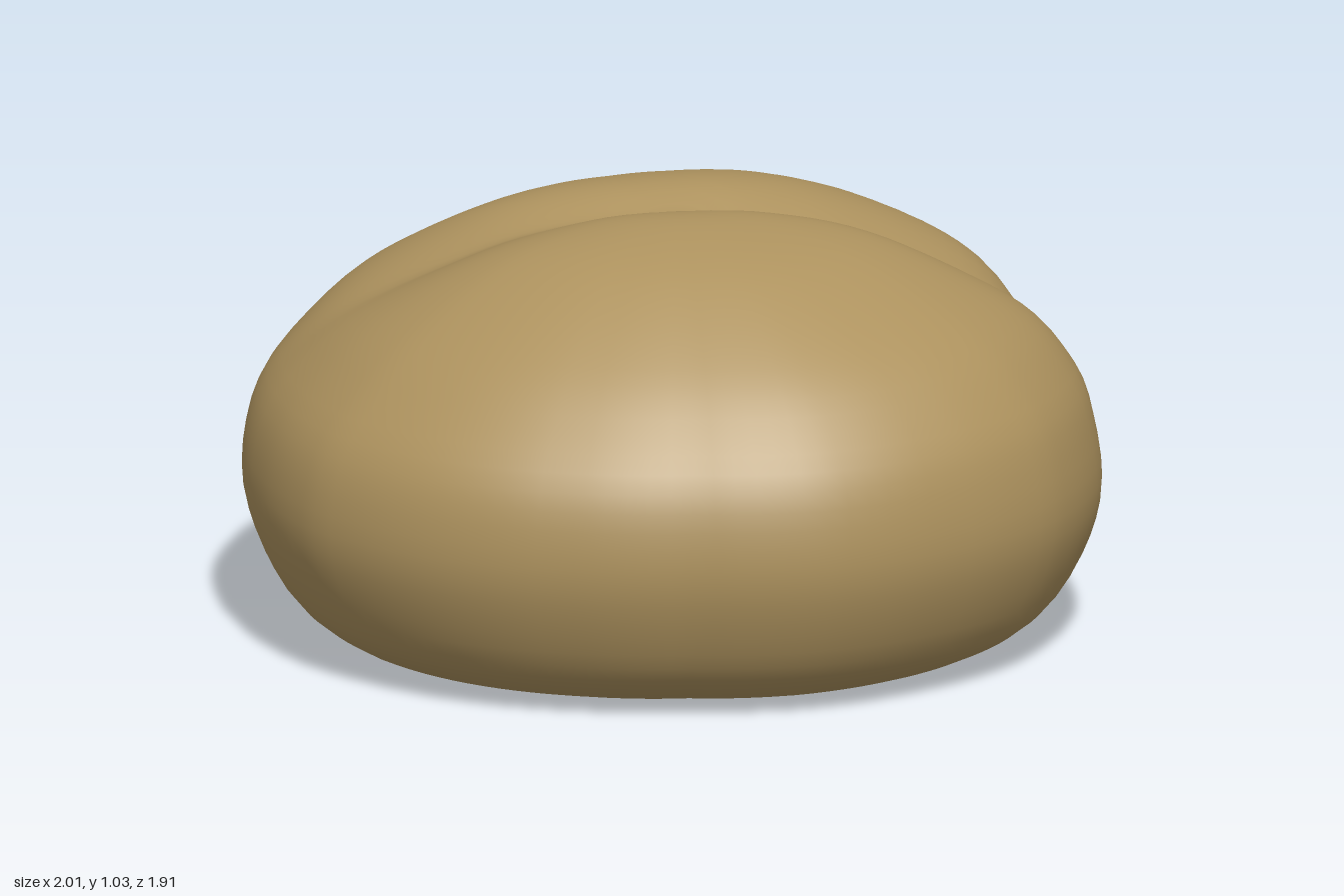
import * as THREE from 'three';
import { mergeVertices } from 'three/addons/utils/BufferGeometryUtils.js';

const { lerp, smoothstep: smooth } = THREE.MathUtils;

// Outline radius seen from above, every 20 degrees from +x towards +z
const OUTLINE = [1, 0.975, 1, 0.995, 0.958, 0.935, 0.893, 0.918, 0.96,
  1, 1, 1.015, 1.015, 0.965, 0.928, 0.94, 1, 1.028];

// Side profile, bottom to top: radius share and height
const PROFILE = [[0, 0.01], [0.4, 0], [0.68, 0.008], [0.81, 0.045], [0.92, 0.14], [1, 0.35],
  [0.975, 0.56], [0.9, 0.69], [0.79, 0.8], [0.6, 0.915], [0.42, 0.99], [0.2, 1.033], [0, 1.038]];

function outlineRadius(angle) {
  const n = OUTLINE.length;
  const t = ((angle / (Math.PI * 2) + 1) % 1) * n;
  const i = Math.floor(t) % n;
  return lerp(OUTLINE[i], OUTLINE[(i + 1) % n], t - Math.floor(t));
}

// z of the crease: slants over the top, then turns forward down the +x side
function creaseZ(x, y) {
  const top = x < 0.2 ? 0.5 * x - 0.09 : 0.01 + 0.32 * (x - 0.2);
  return top + 0.17 * (1 - smooth(y, 0, 0.6));
}

// Depth of the crease: strong over the top, faint at the waist, a small pit low on +x
function creaseDepth(x, y) {
  const top = smooth(y, 0.4, 0.85) * (0.065 * smooth(x, -0.9, -0.4) + 0.045 * smooth(x, 0, 0.4));
  const waist = 0.012 * smooth(x, 0.2, 0.7);
  const foot = 0.02 * smooth(x, 0.1, 0.6) * smooth(y, 0.02, 0.1) * (1 - smooth(y, 0.1, 0.28));
  return top + waist + foot;
}

function bunGeometry() {
  const curve = new THREE.SplineCurve(PROFILE.map(([r, y]) => new THREE.Vector2(r, y)));
  const points = curve.getSpacedPoints(56);
  points[0].x = points[56].x = 0;
  let geometry = new THREE.LatheGeometry(points, 108);
  const pos = geometry.attributes.position;
  const p = new THREE.Vector3();
  const inward = new THREE.Vector3();
  for (let i = 0; i < pos.count; i++) {
    p.fromBufferAttribute(pos, i);
    // Uneven outline, upper half fuller towards +x and the back
    const angle = Math.atan2(p.z, p.x);
    const lean = 0.06 * Math.cos(angle + 0.35) * smooth(p.y, 0.5, 0.85);
    const r = outlineRadius(angle) * (1 + lean);
    p.x *= r;
    p.z *= r;
    // Press in the crease
    const offset = p.z - creaseZ(p.x, p.y);
    const width = 0.11 + 0.06 * smooth(Math.abs(p.x - 0.1), 0.1, 0.5);
    inward.set(0, 0.4, 0).sub(p).normalize();
    p.addScaledVector(inward,
      creaseDepth(p.x, p.y) * Math.exp(-Math.pow(Math.abs(offset) / width, 1.6)));
    // Broad valley between the two lobes underneath, and a lifted back edge
    const under = 1 - smooth(p.y, 0.03, 0.2);
    const valley = 0.065 * smooth(p.x, -0.9, -0.2) * Math.exp(-Math.pow(offset / 0.24, 2));
    p.y += under * (valley + 0.02 * smooth(-p.z, 0.45, 0.8));
    pos.setXYZ(i, p.x, p.y, p.z);
  }
  // Weld the seam so the surface shades smoothly
  geometry.deleteAttribute('uv');
  geometry.deleteAttribute('normal');
  geometry = mergeVertices(geometry, 1e-4);
  geometry.computeVertexNormals();
  return geometry;
}

export function createModel() {
  const group = new THREE.Group();
  group.name = 'creasedBun';
  const crust = new THREE.MeshStandardMaterial({ color: 0xad925e });
  crust.name = 'tan crust';
  const bun = new THREE.Mesh(bunGeometry(), crust);
  bun.name = 'bun';
  group.add(bun);
  return group;
}
